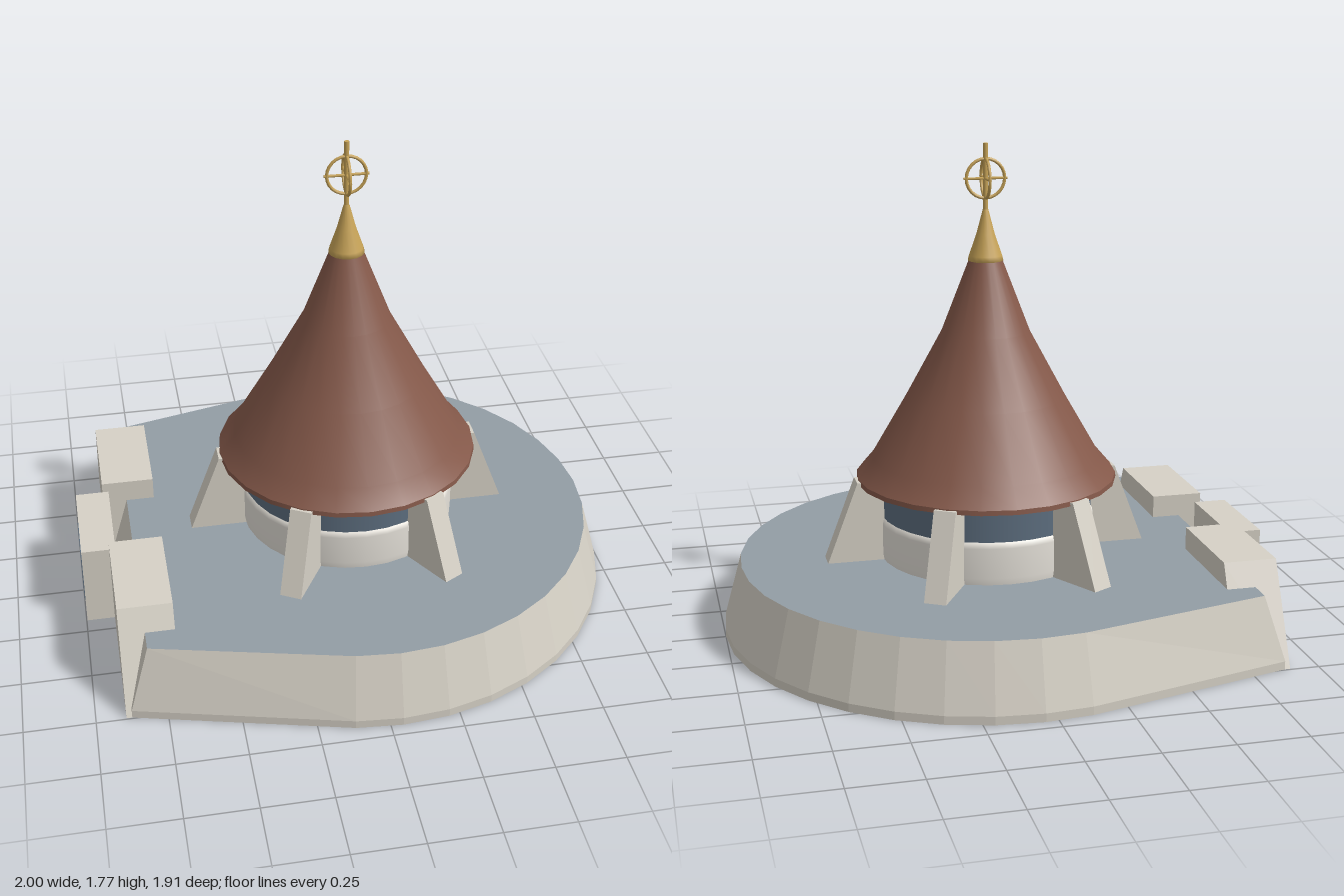
import * as THREE from 'three';

const mat = (name, color, side = THREE.FrontSide) => {
  const m = new THREE.MeshStandardMaterial({ color, side });
  m.name = name;
  return m;
};

// Flat-shaded surface from a list of four-cornered faces
function quads(faces) {
  const pos = [];
  for (const [a, b, c, d] of faces) pos.push(...a, ...b, ...c, ...a, ...c, ...d);
  const g = new THREE.BufferGeometry();
  g.setAttribute('position', new THREE.Float32BufferAttribute(pos, 3));
  g.computeVertexNormals();
  return g;
}

// Block open at the bottom: corners [z, y] run from low z, over the top, to high z
function openBlock(profile, x0, x1) {
  const at = (x) => profile.map(([z, y]) => [x, y, z]);
  const a = at(x0), b = at(x1), faces = [[...a].reverse(), b];
  for (let i = 0; i < 3; i++) faces.push([a[i], a[i + 1], b[i + 1], b[i]]);
  return quads(faces);
}

// Teardrop outline: round on the right, tapering to a straight end
function outline(radius, endX, endZ) {
  const pts = [];
  for (let d = -100; d <= 100; d += 10) {
    const a = THREE.MathUtils.degToRad(d);
    pts.push([0.045 + radius * Math.cos(a), radius * Math.sin(a)]);
  }
  pts.push([endX, endZ], [endX, -endZ]);
  return pts;
}

const lathe = (pts, segments = 24) =>
  new THREE.LatheGeometry(pts.map(([r, y]) => new THREE.Vector2(r, y)), segments);

export function createModel() {
  const model = new THREE.Group();
  model.name = 'building';
  const stone = mat('stone', 0xd6d1c6, THREE.DoubleSide);
  const plaster = mat('plaster', 0xe6e2da);
  const slate = mat('slate deck', 0x939da5, THREE.DoubleSide);
  const tile = mat('roof brown', 0x85594a, THREE.DoubleSide);
  const gold = mat('gold', 0xc8a458);
  const glass = mat('blue glass', 0x5d6e7f);
  const add = (parent, name, geometry, material) => {
    const m = new THREE.Mesh(geometry, material);
    m.name = name;
    parent.add(m);
    return m;
  };

  // Sloping outer wall, hollow below the deck
  const foot = outline(0.955, -0.875, 0.745), rim = outline(0.89, -0.805, 0.705);
  const rings = [
    foot.map(([x, z]) => [x, 0, z]),
    foot.map(([x, z]) => [x, 0.03, z]),
    rim.map(([x, z]) => [x, 0.265, z]),
  ];
  const faces = [];
  for (let k = 0; k < 2; k++) {
    for (let i = 0; i < foot.length; i++) {
      const j = (i + 1) % foot.length;
      faces.push([rings[k][i], rings[k + 1][i], rings[k + 1][j], rings[k][j]]);
    }
  }
  add(model, 'outerWall', quads(faces), stone);

  // Flat deck
  const deckShape = new THREE.Shape(rim.map(([x, z]) => new THREE.Vector2(x, -z)));
  add(model, 'deck', new THREE.ShapeGeometry(deckShape).rotateX(-Math.PI / 2), slate).position.y = 0.265;

  // Entrance wings, porch and door
  const wing = [[0.188, 0], [0.188, 0.35], [0.58, 0.35], [0.745, 0]];
  add(model, 'leftWing', openBlock(wing, -0.895, -0.7), stone);
  add(model, 'rightWing', openBlock(wing.map(([z, y]) => [-z, y]).reverse(), -0.895, -0.7), stone);
  add(model, 'porch', openBlock([[-0.186, 0], [-0.186, 0.315], [0.186, 0.315], [0.186, 0]], -0.997, -0.872), stone);
  add(model, 'door', new THREE.BoxGeometry(0.006, 0.2, 0.22), glass).position.set(-0.997, 0.137, 0);

  // Round tower
  const tower = new THREE.Group();
  tower.name = 'tower';
  tower.position.x = 0.023;
  model.add(tower);
  add(tower, 'drum', lathe([[0.395, 0.26], [0.4, 0.29], [0.4, 0.4], [0.396, 0.42], [0.38, 0.427]], 32), plaster);
  add(tower, 'windowBand', new THREE.CylinderGeometry(0.392, 0.392, 0.14, 32, 1, true), glass).position.y = 0.49;

  // Buttresses around the tower
  const side = new THREE.Shape([[0.39, 0.26], [0.602, 0.26], [0.487, 0.563], [0.39, 0.563]]
    .map(([x, y]) => new THREE.Vector2(x, y)));
  const buttress = new THREE.ExtrudeGeometry(side, { depth: 0.08, bevelEnabled: false }).translate(0, 0, -0.04);
  for (let i = 0; i < 6; i++) {
    add(tower, 'buttress', buttress, stone).rotation.y = i * Math.PI / 3;
  }

  // Flared roof with a thin eave
  add(tower, 'eaveUnderside', new THREE.RingGeometry(0.37, 0.48, 24).rotateX(Math.PI / 2), tile).position.y = 0.55;
  add(tower, 'eave', lathe([[0.48, 0.55], [0.478, 0.567]]), tile);
  add(tower, 'roof', lathe([[0.478, 0.567], [0.42, 0.635], [0.29, 0.86], [0.16, 1.1], [0.06, 1.36]]), tile);

  // Gold finial: cap, mast, crossed rings and bars
  add(tower, 'finialCap', lathe([[0.05, 1.35], [0.065, 1.357], [0.06, 1.375], [0.034, 1.45], [0.01, 1.54]], 16), gold);
  add(tower, 'mast', new THREE.CylinderGeometry(0.009, 0.009, 0.26, 8), gold).position.y = 1.645;
  for (const turn of [0, Math.PI / 2]) {
    const ring = add(tower, 'finialRing', new THREE.TorusGeometry(0.07, 0.006, 6, 24), gold);
    const bar = add(tower, 'finialBar', new THREE.CylinderGeometry(0.005, 0.005, 0.16, 6).rotateZ(Math.PI / 2), gold);
    for (const part of [ring, bar]) {
      part.position.y = 1.65;
      part.rotation.y = turn;
    }
  }
  return model;
}
